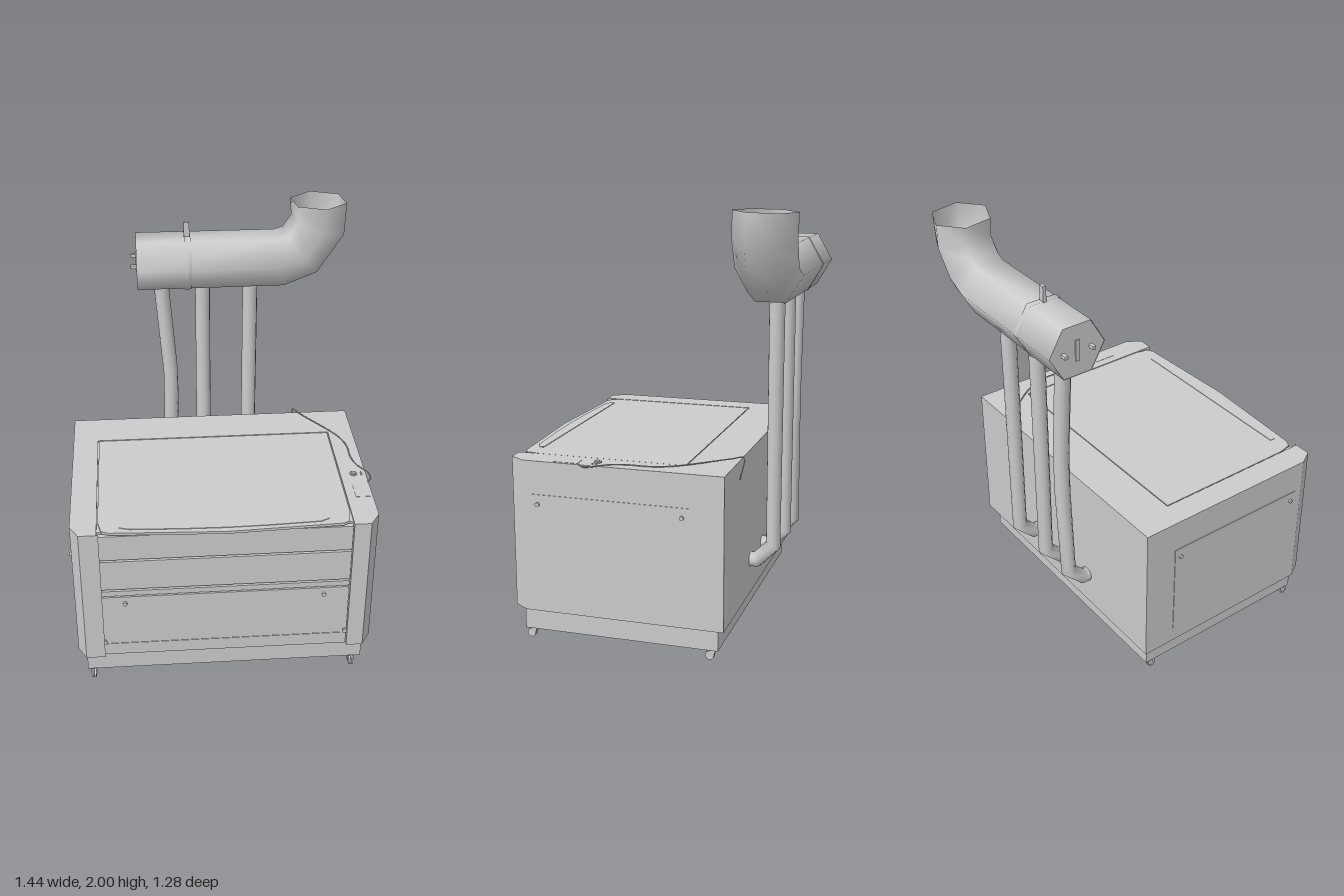
import * as THREE from 'three';

const grey = new THREE.MeshStandardMaterial({ color: 0xcccccc });
const greyDouble = new THREE.MeshStandardMaterial({ color: 0xcccccc, side: THREE.DoubleSide });

export function createModel() {
  const model = new THREE.Group();

  const add = (name, geometry, x = 0, y = 0, z = 0, material = grey) => {
    const mesh = new THREE.Mesh(geometry, material);
    mesh.name = name;
    mesh.position.set(x, y, z);
    model.add(mesh);
    return mesh;
  };
  // Box given by its limits on each axis
  const box = (name, x0, x1, y0, y1, z0, z1) =>
    add(name, new THREE.BoxGeometry(x1 - x0, y1 - y0, z1 - z0), (x0 + x1) / 2, (y0 + y1) / 2, (z0 + z1) / 2);
  // Upright slab from a plan outline of [x, z] points
  const slab = (name, plan, y0, y1) => {
    const shape = new THREE.Shape(plan.map(([x, z]) => new THREE.Vector2(x, -z)));
    const g = new THREE.ExtrudeGeometry(shape, { depth: y1 - y0, bevelEnabled: false });
    return add(name, g.rotateX(-Math.PI / 2), 0, y0, 0);
  };
  // Open pipe with mitred rings along a path; ref is the direction of the first corner
  const pipe = (name, path, radius, sides, ref, twist = 0) => {
    const pts = path.map(p => new THREE.Vector3(...p));
    const pos = [], index = [];
    pts.forEach((p, i) => {
      const t = new THREE.Vector3();
      if (i > 0) t.add(p.clone().sub(pts[i - 1]).normalize());
      if (i < pts.length - 1) t.add(pts[i + 1].clone().sub(p).normalize());
      t.normalize();
      const u = ref.clone().addScaledVector(t, -ref.dot(t)).normalize();
      const v = t.clone().cross(u);
      for (let k = 0; k < sides; k++) {
        const a = (k / sides) * Math.PI * 2 + twist * Math.max(0, i - 1);
        const q = p.clone().addScaledVector(u, radius * Math.cos(a)).addScaledVector(v, radius * Math.sin(a));
        pos.push(q.x, q.y, q.z);
        if (i > 0) {
          const b = i * sides + k, c = i * sides + (k + 1) % sides;
          index.push(b - sides, c - sides, b, c - sides, c, b);
        }
      }
    });
    const g = new THREE.BufferGeometry();
    g.setAttribute('position', new THREE.Float32BufferAttribute(pos, 3));
    g.setIndex(index);
    g.computeVertexNormals();
    return add(name, g, 0, 0, 0, greyDouble);
  };

  // Cabinet with chamfered front pillars and a recessed front
  const outer = [[-0.58, 0.63], [-0.67, 0.63], [-0.71, 0.56], [-0.71, -0.38],
    [0.7, -0.38], [0.7, 0.56], [0.655, 0.63], [0.577, 0.63]];
  slab('cabinet', [...outer, [0.577, 0.595], [-0.588, 0.595]], 0.17, 0.877);
  slab('topFrame', [...outer, [0.577, -0.173], [-0.588, -0.173], [-0.588, 0.63]], 0.877, 0.886);
  box('plinth', -0.67, 0.66, 0.06, 0.17, -0.345, 0.585);

  // Lid with its bowed front edge and raised grip
  slab('lid', [[-0.583, -0.168], [0.572, -0.168], [0.572, 0.53], [0.56, 0.6], [0.53, 0.615],
    [0, 0.64], [-0.53, 0.615], [-0.567, 0.6], [-0.583, 0.53]], 0.872, 0.885);
  slab('lidGrip', [[-0.485, 0.555], [0.47, 0.555], [0.47, 0.575], [0.43, 0.595], [0.2, 0.607],
    [0, 0.611], [-0.2, 0.607], [-0.44, 0.595], [-0.485, 0.58]], 0.885, 0.888);

  // Front panels separated by gaps
  for (const [name, y0, y1, z] of [['upperFascia', 0.734, 0.866, 0.617], ['middleFascia', 0.564, 0.724, 0.617],
    ['fasciaRail', 0.522, 0.55, 0.612], ['frontDoor', 0.24, 0.517, 0.615], ['bottomRail', 0.17, 0.235, 0.612]]) {
    box(name, -0.586, 0.575, y0, y1, 0.59, z);
  }
  for (const x of [-0.578, 0.567]) box('doorHinge', x - 0.009, x + 0.009, 0.24, 0.262, 0.6, 0.622);
  for (const x of [-0.475, 0.457]) {
    add('doorLock', new THREE.CylinderGeometry(0.01, 0.01, 0.012, 12).rotateX(Math.PI / 2), x, 0.48, 0.62);
  }

  // Side service panels with locks
  for (const [side, x] of [[-1, -0.71], [1, 0.7]]) {
    box('sidePanel', x - 0.003, x + 0.003, 0.25, 0.73, -0.22, 0.52);
    for (const z of [0.49, -0.19]) {
      add('sideLock', new THREE.CylinderGeometry(0.01, 0.01, 0.014, 12).rotateZ(Math.PI / 2), x + side * 0.006, 0.685, z);
    }
  }

  // Casters
  for (const x of [-0.643, 0.617]) {
    for (const z of [0.555, -0.315]) {
      box('casterPlate', x - 0.022, x + 0.022, 0.052, 0.062, z - 0.02, z + 0.02);
      for (const s of [-1, 1]) {
        const arm = box('casterFork', x + s * 0.013 - 0.002, x + s * 0.013 + 0.002, 0.014, 0.056, z - 0.006, z + 0.018);
        arm.rotation.x = -0.35;
        add('casterWheel', new THREE.CylinderGeometry(0.021, 0.021, 0.009, 14).rotateZ(Math.PI / 2),
          x + s * 0.006, 0.021, z + 0.018);
      }
    }
  }

  // Controls on the top right
  add('stopButtonBase', new THREE.CylinderGeometry(0.018, 0.018, 0.006, 12), 0.64, 0.888, 0.22);
  add('stopButton', new THREE.CylinderGeometry(0.01, 0.012, 0.008, 12), 0.64, 0.892, 0.22);
  for (const z of [0.212, 0.23]) add('smallButton', new THREE.CylinderGeometry(0.004, 0.004, 0.006, 8), 0.678, 0.888, z);
  box('controlPanel', 0.62, 0.688, 0.885, 0.8875, 0.3, 0.415);

  // Large six-sided exhaust duct with an upturned open end
  const axisX = new THREE.Vector3(1, 0, 0), axisZ = new THREE.Vector3(0, 0, 1);
  const ductY = 1.715, ductZ = -0.492;
  pipe('exhaustDuct', [[-0.362, ductY, ductZ], [0.34, ductY, ductZ], [0.445, 1.755, ductZ],
    [0.528, 1.88, -0.5], [0.528, 2, -0.503]], 0.141, 6, axisZ, 0.05);
  pipe('ductCollar', [[-0.127, ductY, ductZ], [-0.096, ductY, ductZ]], 0.145, 6, axisZ);
  add('ductEndCap', new THREE.CylinderGeometry(0.139, 0.139, 0.006, 6).rotateZ(Math.PI / 2), -0.357, ductY, ductZ);
  box('damperHandle', -0.127, -0.1, 1.83, 1.912, ductZ - 0.008, ductZ + 0.008);
  for (const z of [-0.565, -0.425]) box('endCapTab', -0.39, -0.36, ductY - 0.008, ductY + 0.008, z - 0.008, z + 0.008);
  box('endCapBar', -0.366, -0.36, ductY - 0.05, ductY + 0.05, ductZ - 0.01, ductZ + 0.01);

  // Three riser pipes ending in elbows at the cabinet back
  const risers = [
    [[0.2, 1.6], [0.2, 0.42]],
    [[-0.037, 1.6], [-0.037, 0.42]],
    [[-0.24, 1.6], [-0.24, 1.55], [-0.205, 1.1], [-0.205, 0.88], [-0.235, 0.42]],
  ];
  for (const run of risers) {
    const [topX] = run[0], [endX] = run[run.length - 1];
    const path = run.map(([x, y]) => [x, y, -0.488]);
    path.push([endX, 0.34, -0.41], [endX, 0.34, -0.378]);
    pipe('riserPipe', path, 0.037, 12, axisX);
    add('riserCollar', new THREE.CylinderGeometry(0.04, 0.04, 0.03, 12), topX, 1.585, -0.488);
    add('riserFlange', new THREE.CylinderGeometry(0.018, 0.04, 0.03, 12), topX, 1.612, -0.488);
  }

  // Thin cable running from the back edge to the controls
  const cable = new THREE.CatmullRomCurve3([[0.44, 0.8, -0.384], [0.43, 0.86, -0.395], [0.42, 0.899, -0.4],
    [0.46, 0.898, -0.34], [0.62, 0.891, -0.12], [0.65, 0.89, -0.02], [0.65, 0.89, 0.07], [0.67, 0.89, 0.15],
    [0.715, 0.887, 0.22], [0.718, 0.882, 0.26], [0.692, 0.888, 0.295]].map(p => new THREE.Vector3(...p)));
  add('cable', new THREE.TubeGeometry(cable, 40, 0.003, 6));

  return model;
}
